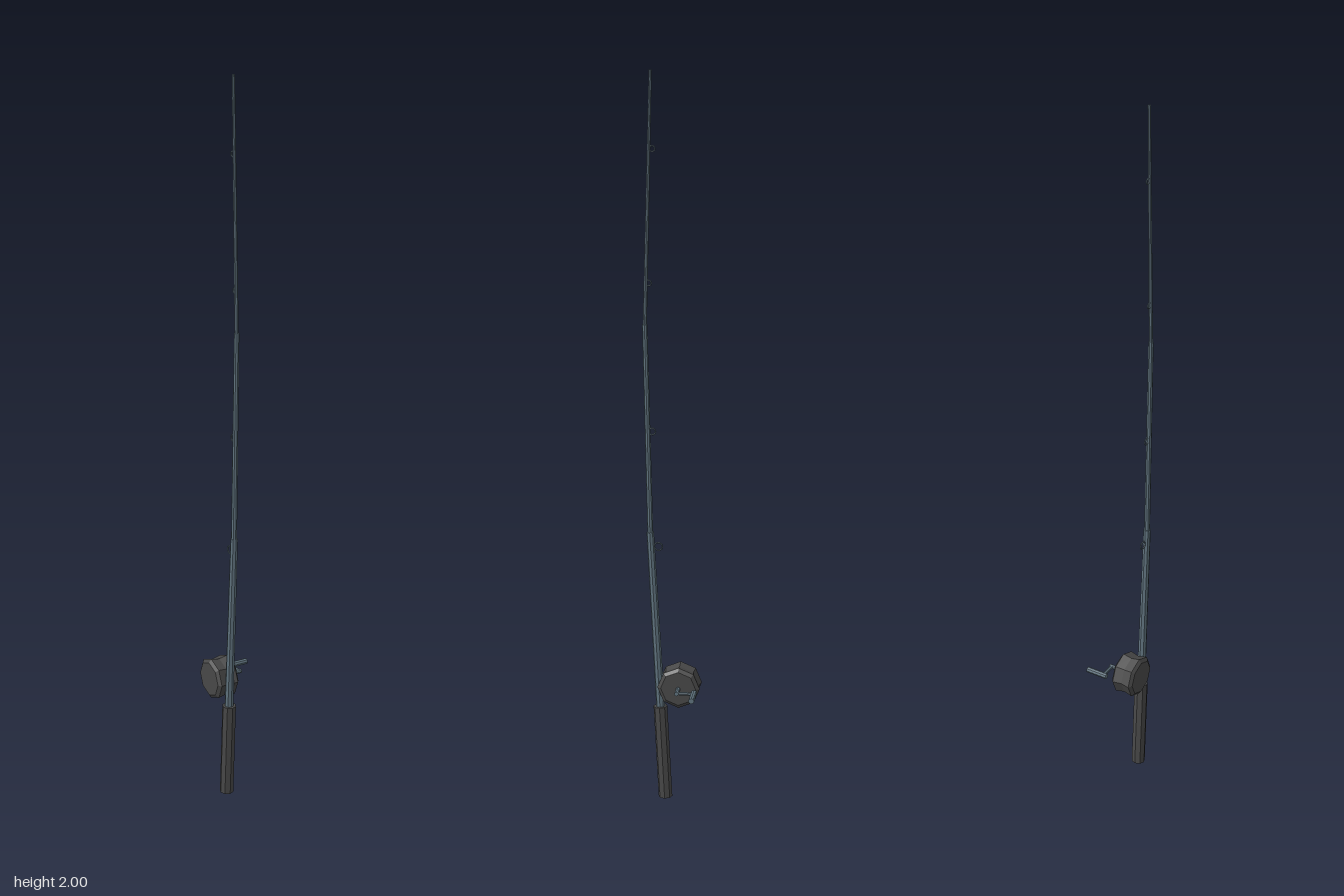
import * as THREE from 'three';

const X = -0.041; // rod plane
const dark = new THREE.MeshStandardMaterial({ color: 0x484848, flatShading: true });
const steel = new THREE.MeshStandardMaterial({ color: 0x5f727d, flatShading: true });

export function createModel() {
  const root = new THREE.Group();
  root.name = 'fishingRod';

  const add = (name, geometry, material, parent = root) => {
    const mesh = new THREE.Mesh(geometry, material);
    mesh.name = name;
    parent.add(mesh);
    return mesh;
  };

  // Tapered bar between two points
  const bar = (name, a, b, ra, rb, material, parent = root, sides = 8) => {
    const p = new THREE.Vector3(...a), q = new THREE.Vector3(...b);
    const dir = q.clone().sub(p);
    const mesh = add(name, new THREE.CylinderGeometry(rb, ra, dir.length(), sides), material, parent);
    mesh.position.copy(p).add(q).multiplyScalar(0.5);
    mesh.quaternion.setFromUnitVectors(new THREE.Vector3(0, 1, 0), dir.normalize());
    return mesh;
  };

  // Grip
  bar('grip', [X, 0.002, 0.017], [X, 0.27, 0.031], 0.019, 0.019, dark);

  // Bent rod in three stepped sections
  bar('lowerRod', [X, 0.26, 0.03], [X, 0.77, 0.058], 0.012, 0.010, steel);
  bar('middleRod', [X, 0.76, 0.0575], [X, 1.34, 0.071], 0.008, 0.007, steel);
  bar('upperRod', [X, 1.33, 0.071], [X, 2, 0.055], 0.0055, 0.004, steel);

  // Line guides, shrinking towards the tip
  const guides = [[0.73, 0.036, 0.011], [1.05, 0.052, 0.009], [1.45, 0.061, 0.0075], [1.8, 0.051, 0.0075]];
  for (const [y, z, r] of guides) {
    const ring = add('lineGuide', new THREE.TorusGeometry(r, 0.002, 5, 10), steel);
    ring.rotation.y = Math.PI / 2;
    ring.position.set(X, y, z);
  }

  // Octagonal reel with chamfered rims and a waisted middle
  const reel = new THREE.Group();
  reel.name = 'reel';
  reel.position.set(X, 0.335, -0.022);
  root.add(reel);
  const profile = [[0, -0.032], [0.048, -0.032], [0.058, -0.025], [0.053, 0], [0.058, 0.025], [0.048, 0.032], [0, 0.032]]
    .map(([r, h]) => new THREE.Vector2(r, h));
  add('reelDrum', new THREE.LatheGeometry(profile, 8), dark, reel).rotation.z = -Math.PI / 2;

  // Crank: axle, arm and knob
  bar('crankAxle', [0.03, 0, 0], [0.069, 0, 0], 0.006, 0.006, steel, reel);
  bar('crankArm', [0.063, 0, 0.004], [0.063, 0, -0.046], 0.005, 0.005, steel, reel);
  bar('crankKnob', [0.052, 0, -0.046], [0.113, 0, -0.046], 0.008, 0.008, steel, reel);

  return root;
}
